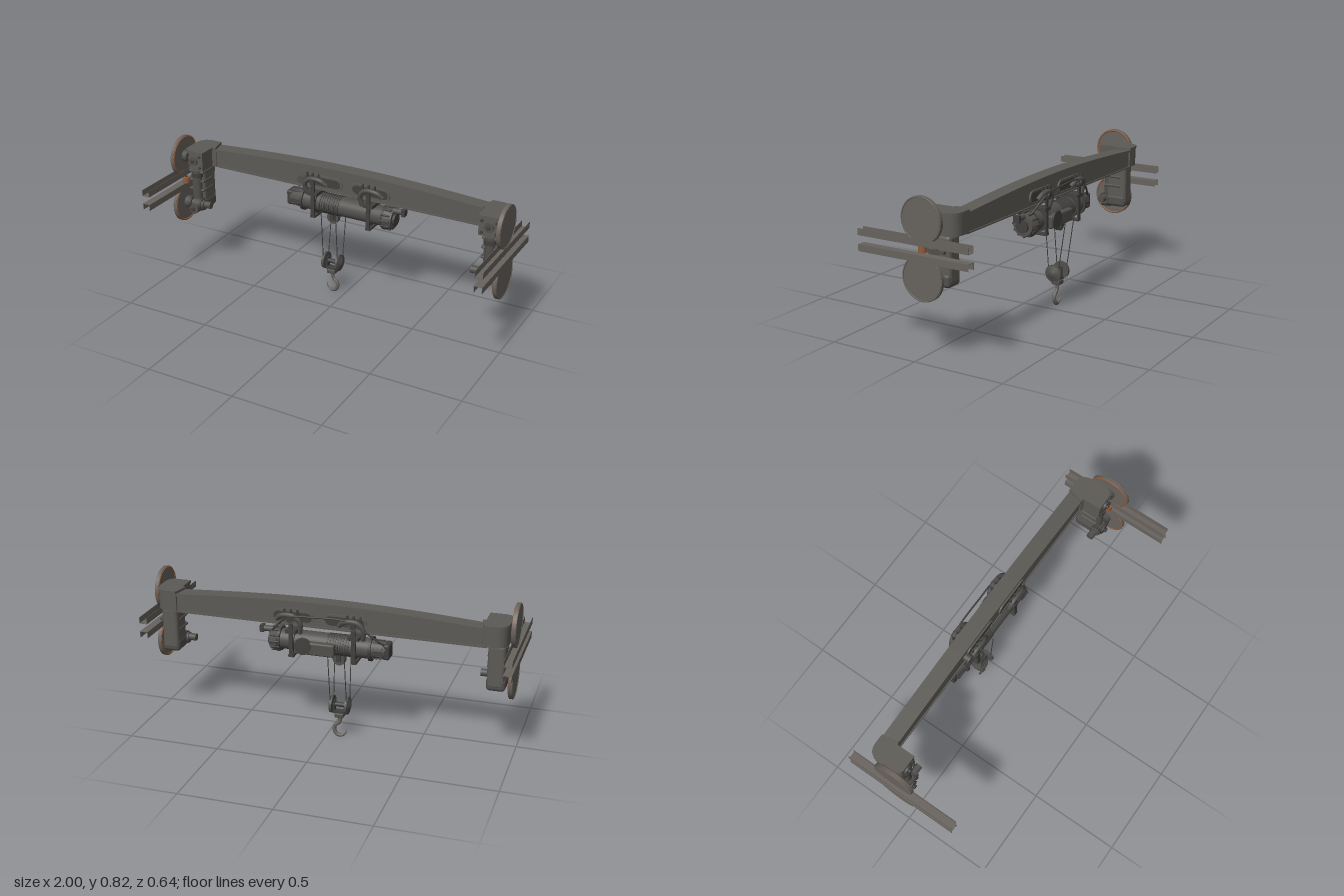
import * as THREE from 'three';
import { RoundedBoxGeometry } from 'three/addons/geometries/RoundedBoxGeometry.js';

const mat = (name, color, side = THREE.FrontSide) => {
  const m = new THREE.MeshStandardMaterial({ color, side });
  m.name = name;
  return m;
};
const V = (x, y, z) => new THREE.Vector3(x, y, z);

export function createModel() {
  const root = new THREE.Group();
  root.name = 'overheadCrane';
  const steel = mat('beamSteel', 0x5c5a55);
  const plate = mat('wheelSteel', 0x67625d);
  const machine = mat('machineGrey', 0x504f4c);
  const dark = mat('darkIron', 0x41403e);
  const copper = mat('copper', 0x8f5c3c);

  const add = (name, geo, m, x = 0, y = 0, z = 0, parent = root) => {
    const mesh = new THREE.Mesh(geo, m);
    mesh.name = name;
    mesh.position.set(x, y, z);
    parent.add(mesh);
    return mesh;
  };
  const box = (name, w, h, d, m, x, y, z, p) => add(name, new THREE.BoxGeometry(w, h, d), m, x, y, z, p);
  const rbox = (name, w, h, d, r, m, x, y, z, p) => add(name, new RoundedBoxGeometry(w, h, d, 3, r), m, x, y, z, p);
  // Cylinder along a chosen axis; r2 is the radius at the positive end
  const cyl = (name, axis, r, len, m, x, y, z, p, r2 = r, seg = 24) => {
    const g = new THREE.CylinderGeometry(r2, r, len, seg);
    if (axis === 'x') g.rotateZ(-Math.PI / 2);
    if (axis === 'z') g.rotateX(Math.PI / 2);
    return add(name, g, m, x, y, z, p);
  };
  const tube = (name, pts, r, m, p, seg = 32) =>
    add(name, new THREE.TubeGeometry(new THREE.CatmullRomCurve3(pts), seg, r, 10), m, 0, 0, 0, p);

  // Main beam: arched in front elevation, with wider flanges
  const arch = (x) => 0.732 + 0.036 * Math.cos((x / 0.86) * Math.PI / 2);
  const archStrip = (name, lower, upper, depth, m) => {
    const s = new THREE.Shape();
    for (let i = 0; i <= 32; i++) {
      const x = -0.86 + (1.72 * i) / 32;
      i ? s.lineTo(x, lower(x)) : s.moveTo(x, lower(x));
    }
    for (let i = 32; i >= 0; i--) {
      const x = -0.86 + (1.72 * i) / 32;
      s.lineTo(x, upper(x));
    }
    const g = new THREE.ExtrudeGeometry(s, { depth, bevelEnabled: false });
    add(name, g, m, 0, 0, -0.17 - depth / 2);
  };
  archStrip('beamWeb', () => 0.632, (x) => arch(x) - 0.008, 0.07, steel);
  archStrip('beamTopFlange', (x) => arch(x) - 0.012, arch, 0.086, steel);
  box('beamBottomFlange', 1.7, 0.008, 0.082, steel, 0, 0.634, -0.17);

  // Pill-shaped openings with raised rims on both faces of the beam
  const pill = (w, r, P) => {
    const s = new P();
    s.absarc(w, 0, r, -Math.PI / 2, Math.PI / 2, false);
    s.absarc(-w, 0, r, Math.PI / 2, Math.PI * 1.5, false);
    s.closePath();
    return s;
  };
  for (const px of [-0.115, 0.17]) for (const f of [1, -1]) {
    const rim = pill(0.08, 0.037, THREE.Shape);
    rim.holes.push(pill(0.08, 0.026, THREE.Path));
    const z = -0.17 + f * 0.037;
    add('slotRim', new THREE.ExtrudeGeometry(rim, { depth: 0.012, bevelEnabled: false }), steel, px, 0.68, z - 0.006);
    add('slotPanel', new THREE.ExtrudeGeometry(pill(0.08, 0.027, THREE.Shape), { depth: 0.004, bevelEnabled: false }), dark, px, 0.68, z - 0.002);
  }

  // End carriages, mirrored left and right
  for (const s of [1, -1]) {
    const end = new THREE.Group();
    end.name = s > 0 ? 'leftCarriage' : 'rightCarriage';
    root.add(end);

    // Elbow turning the beam forward
    const plan = (o) => {
      const e = new THREE.Shape();
      e.moveTo(s * 0.83, -0.213 - o);
      e.lineTo(s * 0.885, -0.213 - o);
      e.quadraticCurveTo(s * (0.95 + o), -0.21 - o, s * (0.95 + o), -0.14);
      e.lineTo(s * (0.95 + o), -0.06);
      e.quadraticCurveTo(s * (0.945 + o), -0.025 + o, s * 0.91, -0.022 + o);
      e.lineTo(s * (0.832 - o), -0.022 + o);
      e.lineTo(s * (0.832 - o), -0.12);
      e.lineTo(s * 0.81, -0.128);
      return e;
    };
    const slab = (name, o, top, h) => {
      const g = new THREE.ExtrudeGeometry(plan(o), { depth: h, bevelEnabled: false, curveSegments: 10 });
      g.rotateX(Math.PI / 2);
      add(name, g, steel, 0, top, 0, end);
    };
    slab('elbow', 0, 0.735, 0.1);
    slab('elbowCap', 0.004, 0.748, 0.016);
    for (const bx of [0.85, 0.93]) for (const by of [0.655, 0.72])
      cyl('elbowBolt', 'z', 0.008, 0.014, dark, s * bx, by, -0.018, end, 0.008, 6);
    cyl('bearingCover', 'z', 0.026, 0.016, machine, s * 0.89, 0.69, -0.018, end);
    cyl('bearingHub', 'z', 0.01, 0.016, dark, s * 0.89, 0.69, -0.006, end);

    // Lower leg with ribs
    rbox('leg', 0.09, 0.24, 0.12, 0.02, steel, s * 0.895, 0.515, -0.115, end);
    rbox('legFoot', 0.1, 0.07, 0.125, 0.02, machine, s * 0.897, 0.415, -0.11, end);
    for (const y of [0.615, 0.56, 0.505]) rbox('legRib', 0.1, 0.014, 0.1, 0.006, machine, s * 0.895, y, -0.09, end);
    cyl('legPiston', 'y', 0.026, 0.17, machine, s * 0.89, 0.54, -0.05, end);
    cyl('legCollar', 'y', 0.034, 0.025, dark, s * 0.89, 0.6, -0.05, end);

    // Wheels with drives; copper ring on the inner face
    for (const y of [0.705, 0.42]) {
      cyl('wheel', 'x', 0.115, 0.018, plate, s * 0.971, y, -0.042, end, 0.115, 48);
      const ring = add('wheelRing', new THREE.TorusGeometry(0.108, 0.0045, 8, 48), copper, s * 0.962, y, -0.042, end);
      const lip = add('wheelLip', new THREE.TorusGeometry(0.11, 0.003, 8, 48), plate, s * 0.98, y, -0.042, end);
      ring.rotation.y = lip.rotation.y = Math.PI / 2;
      cyl('wheelHub', 'x', 0.034, 0.03, machine, s * 0.948, y, -0.042, end);
    }
    cyl('driveMotor', 'x', 0.03, 0.1, machine, s * 0.89, 0.42, -0.042, end);
    cyl('driveFlange', 'x', 0.038, 0.016, dark, s * 0.925, 0.42, -0.042, end);
    cyl('driveFlange', 'x', 0.036, 0.014, dark, s * 0.86, 0.42, -0.042, end);
    cyl('driveCap', 'x', 0.02, 0.045, machine, s * 0.822, 0.425, -0.042, end);
    cyl('driveGear', 'z', 0.03, 0.05, machine, s * 0.9, 0.395, -0.032, end);
    cyl('driveGearNut', 'z', 0.012, 0.02, dark, s * 0.9, 0.395, -0.003, end, 0.012, 6);

    // Guide roller on its arm between the rails
    box('rollerArm', 0.03, 0.014, 0.1, machine, s * 0.945, 0.556, -0.105, end);
    cyl('rollerArmPivot', 'y', 0.018, 0.026, machine, s * 0.945, 0.556, -0.1, end);
    cyl('guideRoller', 'y', 0.021, 0.034, copper, s * 0.955, 0.56, -0.031, end);
    cyl('guideRollerPin', 'y', 0.007, 0.044, dark, s * 0.955, 0.56, -0.031, end);

    // Thin channel rails, opening away from each other
    for (const [base, d] of [[0.585, 1], [0.54, -1]]) {
      box('railFlange', 0.043, 0.002, 0.64, plate, s * 0.9775, base + d * 0.001, 0, end);
      for (const rx of [0.957, 0.999]) box('railWall', 0.002, 0.035, 0.64, plate, s * rx, base + d * 0.0175, 0, end);
    }
  }

  // Hoist drum hung below the beam
  const hoist = new THREE.Group();
  hoist.name = 'hoist';
  root.add(hoist);
  const hy = 0.54, hz = -0.175;
  cyl('drum', 'x', 0.055, 0.5, machine, 0, hy, hz, hoist, 0.055, 32);
  for (const x of [-0.25, -0.165, 0.165, 0.245]) cyl('drumFlange', 'x', 0.066, 0.014, dark, x, hy, hz, hoist, 0.066, 32);
  for (let i = 0; i < 9; i++) cyl('drumWinding', 'x', 0.058, 0.007, dark, -0.135 + i * 0.014, hy, hz, hoist);
  cyl('gearbox', 'x', 0.068, 0.045, machine, 0.275, hy - 0.005, hz, hoist, 0.055, 32);
  cyl('gearboxCap', 'x', 0.035, 0.02, dark, 0.3, hy - 0.005, hz, hoist);
  cyl('limitSwitch', 'x', 0.016, 0.07, machine, 0.325, 0.585, hz, hoist);
  box('limitSwitchHead', 0.02, 0.038, 0.036, dark, 0.352, 0.585, hz, hoist);
  cyl('motor', 'x', 0.045, 0.08, machine, -0.29, hy, hz, hoist, 0.055);
  for (let i = 0; i < 12; i++) {
    const a = (i / 12) * Math.PI * 2;
    const fin = box('motorFin', 0.07, 0.008, 0.006, dark, -0.285, hy + 0.05 * Math.sin(a), hz + 0.05 * Math.cos(a), hoist);
    fin.rotation.x = -a;
    const tie = cyl('gearboxBolt', 'x', 0.006, 0.05, dark, 0.265, hy + 0.064 * Math.sin(a), hz + 0.064 * Math.cos(a), hoist);
    tie.name = 'gearboxBolt';
  }
  rbox('motorCover', 0.035, 0.085, 0.08, 0.012, dark, -0.335, hy, hz, hoist);
  rbox('controlBox', 0.22, 0.07, 0.035, 0.01, machine, 0.04, 0.53, -0.245, hoist);
  cyl('sideSheave', 'z', 0.045, 0.02, dark, 0.1, 0.54, -0.257, hoist);

  // Hangers: straps, rollers and bent pipes reaching over the beam's faces
  for (const x of [-0.17, 0.17]) {
    const hanger = new THREE.Group();
    hanger.name = 'hanger';
    hoist.add(hanger);
    for (const f of [1, -1]) {
      box('strap', 0.022, 0.24, 0.01, dark, x, 0.59, hz + f * 0.066, hanger);
      tube('bentPipe', [V(x - 0.045, 0.6, hz + f * 0.05), V(x - 0.05, 0.66, hz + f * 0.065), V(x - 0.02, 0.695, hz + f * 0.07),
        V(x + 0.05, 0.695, hz + f * 0.07), V(x + 0.08, 0.67, hz + f * 0.06)], 0.013, machine, hanger);
      for (const o of [-0.035, 0, 0.035]) cyl('hangerBolt', 'y', 0.006, 0.035, dark, x + o, 0.712, hz + f * 0.062, hanger);
    }
    box('hangerYoke', 0.06, 0.018, 0.15, dark, x, 0.608, hz, hanger);
    box('hangerBase', 0.03, 0.012, 0.14, dark, x, 0.472, hz, hanger);
    cyl('rearRoller', 'z', 0.026, 0.03, machine, x, 0.68, -0.238, hanger);
    cyl('rearRollerCap', 'z', 0.016, 0.012, dark, x, 0.68, -0.257, hanger);
  }
  cyl('cableReel', 'z', 0.022, 0.04, machine, -0.24, 0.68, -0.12, hoist);
  tube('rearConduit', [V(-0.34, 0.56, -0.2), V(-0.26, 0.63, -0.235), V(-0.15, 0.7, -0.252), V(0.05, 0.705, -0.255),
    V(0.18, 0.69, -0.252), V(0.28, 0.6, -0.215)], 0.005, dark, hoist);
  cyl('idlerSheave', 'z', 0.035, 0.025, machine, -0.075, 0.462, hz, hoist);
  box('idlerBracket', 0.025, 0.06, 0.045, dark, -0.075, 0.48, hz, hoist);

  // Ropes down to the hook block
  const block = new THREE.Group();
  block.name = 'hookBlock';
  root.add(block);
  const cx = -0.075, bz = -0.166;
  for (const x of [-0.12, -0.03]) {
    tube('rope', [V(x, 0.52, -0.112), V(x, 0.2, -0.138)], 0.0025, dark, block, 1);
    tube('rope', [V(x, 0.52, -0.243), V(x, 0.2, -0.196)], 0.0025, dark, block, 1);
  }

  // Coned sheaves on a cross axle
  for (const s of [1, -1]) {
    cyl('blockSheave', 'x', 0.048, 0.014, machine, cx + s * 0.042, 0.192, bz, block, 0.048, 32);
    cyl('sheaveCone', 'x', s > 0 ? 0.046 : 0.008, 0.014, machine, cx + s * 0.055, 0.192, bz, block, s > 0 ? 0.008 : 0.046, 32);
    box('sheaveGuard', 0.008, 0.07, 0.024, dark, cx + s * 0.03, 0.178, bz, block);
  }
  cyl('blockAxle', 'x', 0.013, 0.09, dark, cx, 0.192, bz, block);
  box('blockBridge', 0.07, 0.014, 0.036, dark, cx, 0.151, bz, block);
  rbox('hookNut', 0.05, 0.026, 0.052, 0.006, machine, cx, 0.135, bz, block);
  cyl('hookShank', 'y', 0.01, 0.04, plate, cx, 0.112, bz, block, 0.012);

  // Hook: a tube thickened at the bottom and tapered to the tip
  const curve = new THREE.CatmullRomCurve3([V(cx, 0.1, bz), V(cx + 0.006, 0.086, bz), V(cx + 0.027, 0.066, bz), V(cx + 0.031, 0.042, bz),
    V(cx + 0.018, 0.018, bz), V(cx - 0.004, 0.011, bz), V(cx - 0.025, 0.02, bz), V(cx - 0.035, 0.04, bz), V(cx - 0.034, 0.054, bz)]);
  const N = 40, R = 10, hook = new THREE.TubeGeometry(curve, N, 0.011, R);
  const pos = hook.attributes.position, v = V(0, 0, 0);
  for (let i = 0; i <= N; i++) {
    const c = curve.getPointAt(i / N), k = i / N < 0.6 ? 0.85 + 0.25 * (i / N) : Math.max(0.02, (1 - i / N) / 0.4);
    for (let j = 0; j <= R; j++) {
      const n = i * (R + 1) + j;
      v.fromBufferAttribute(pos, n).sub(c).multiplyScalar(k).add(c);
      pos.setXYZ(n, v.x, v.y, v.z);
    }
  }
  hook.computeVertexNormals();
  add('hook', hook, plate, 0, 0, 0, block);
  return root;
}
